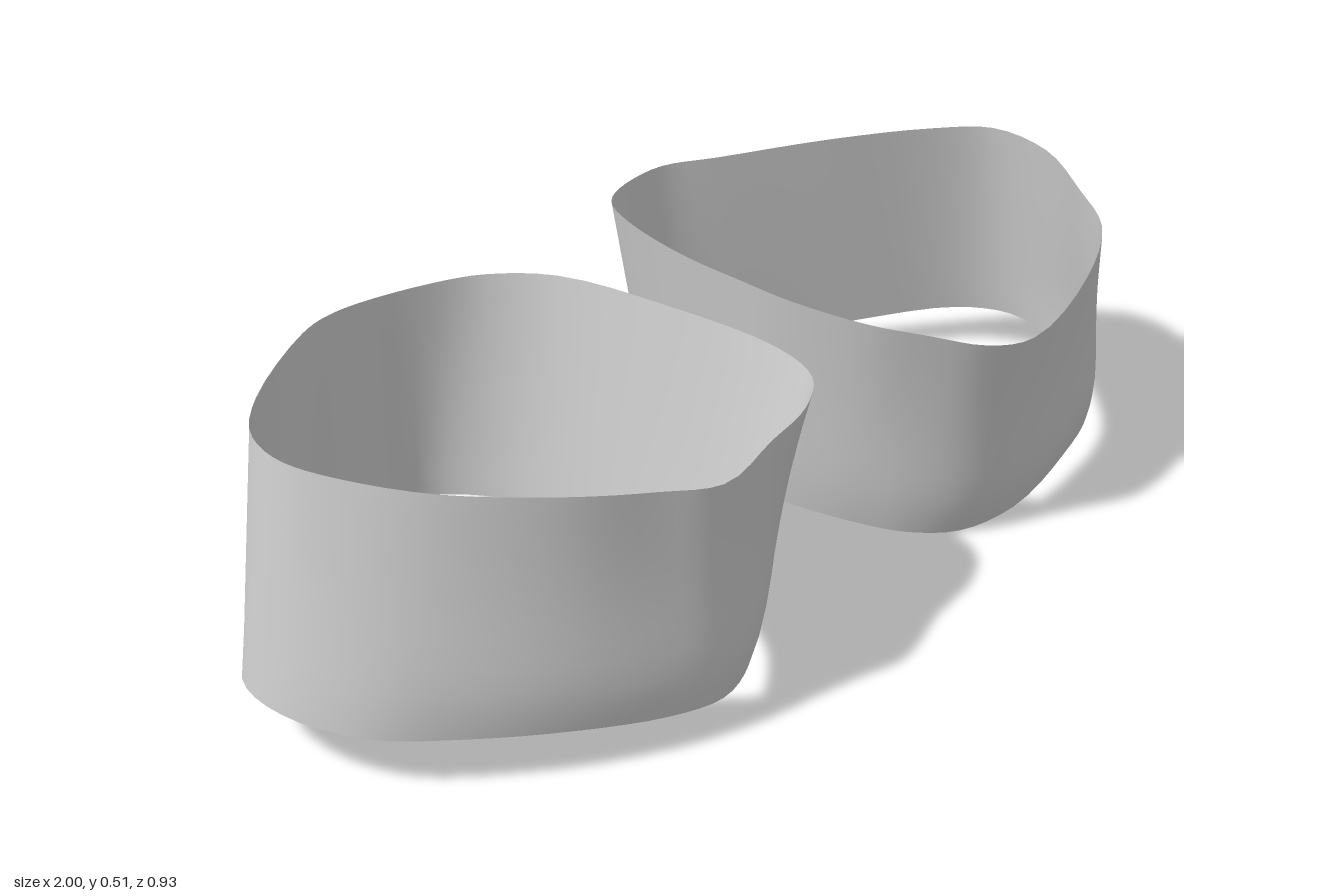
import * as THREE from 'three';

// Rim points [x, y, z], matched one to one between the top and bottom of each band
const leftTop = [
  [.085, .455, .02], [.08, .45, .13], [.105, .44, .28], [.16, .425, .36], [.24, .40, .43],
  [.35, .385, .455], [.59, .41, .41], [.75, .445, .34], [.83, .47, .24], [.91, .50, .11],
  [.93, .51, -.03], [.86, .505, -.13], [.70, .495, -.26], [.51, .475, -.40], [.41, .47, -.46],
  [.31, .46, -.465], [.22, .46, -.42], [.16, .46, -.32], [.10, .46, -.13],
];
const leftBottom = [
  [.145, .01, 0], [.155, .01, .13], [.175, .008, .22], [.21, .004, .30], [.28, .003, .37],
  [.39, .02, .41], [.59, .045, .39], [.75, .055, .34], [.885, .068, .23], [.965, .08, .11],
  [.995, .09, 0], [.955, .088, -.11], [.80, .075, -.24], [.62, .055, -.36], [.43, .035, -.45],
  [.35, .02, -.44], [.27, .012, -.37], [.22, .01, -.28], [.165, .01, -.13],
];
const rightTop = [
  [-.945, .50, .015], [-.92, .495, .11], [-.85, .487, .24], [-.72, .472, .36], [-.585, .445, .415],
  [-.48, .428, .45], [-.32, .425, .41], [-.21, .435, .39], [-.13, .445, .34], [-.095, .455, .24],
  [-.09, .46, 0], [-.115, .46, -.24], [-.185, .455, -.35], [-.265, .45, -.40], [-.40, .445, -.44],
  [-.48, .447, -.435], [-.56, .453, -.40], [-.80, .475, -.225], [-.915, .495, -.09],
];
const rightBottom = [
  [-1, .105, .03], [-.955, .098, .165], [-.85, .09, .27], [-.72, .08, .365], [-.585, .065, .43],
  [-.48, .055, .45], [-.37, .045, .41], [-.28, .037, .34], [-.22, .03, .24], [-.185, .025, .15],
  [-.16, .025, -.03], [-.17, .025, -.19], [-.21, .03, -.32], [-.29, .035, -.41], [-.40, .045, -.427],
  [-.505, .055, -.42], [-.64, .07, -.335], [-.85, .09, -.19], [-.97, .10, -.10],
];

const rim = points => new THREE.CatmullRomCurve3(
  points.map(p => new THREE.Vector3(...p)), true, 'centripetal');

// Thin open wall lofted between two rims, with a slight swell near the bottom
function bandGeometry(topPoints, bottomPoints) {
  const top = rim(topPoints), bottom = rim(bottomPoints);
  const around = topPoints.length * 4, rows = 10;
  const center = new THREE.Vector3(Math.sign(topPoints[0][0]) * 0.54, 0, 0);
  const positions = [], indices = [];
  for (let r = 0; r <= rows; r++) {
    const t = r / rows, swell = 0.012 * Math.sin(Math.PI * t ** 3);
    for (let i = 0; i < around; i++) {
      const p = top.getPoint(i / around).lerp(bottom.getPoint(i / around), t);
      const out = p.clone().sub(center).setY(0).normalize();
      // keep the outer tip and the back straight
      p.addScaledVector(out, swell * Math.max(0, out.z));
      positions.push(p.x, p.y, p.z);
      if (r === rows) continue;
      const a = r * around + i, b = r * around + (i + 1) % around;
      indices.push(a, a + around, b, b, a + around, b + around);
    }
  }
  const geometry = new THREE.BufferGeometry();
  geometry.setAttribute('position', new THREE.Float32BufferAttribute(positions, 3));
  geometry.setIndex(indices);
  geometry.computeVertexNormals();
  return geometry;
}

export function createModel() {
  const group = new THREE.Group();
  group.name = 'pairOfBands';
  const lightGray = new THREE.MeshStandardMaterial({ color: 0xcccccc, side: THREE.DoubleSide });
  lightGray.name = 'lightGray';

  const parts = [['leftBand', leftTop, leftBottom], ['rightBand', rightTop, rightBottom]];
  for (const [name, top, bottom] of parts) {
    const mesh = new THREE.Mesh(bandGeometry(top, bottom), lightGray);
    mesh.name = name;
    group.add(mesh);
  }
  return group;
}
